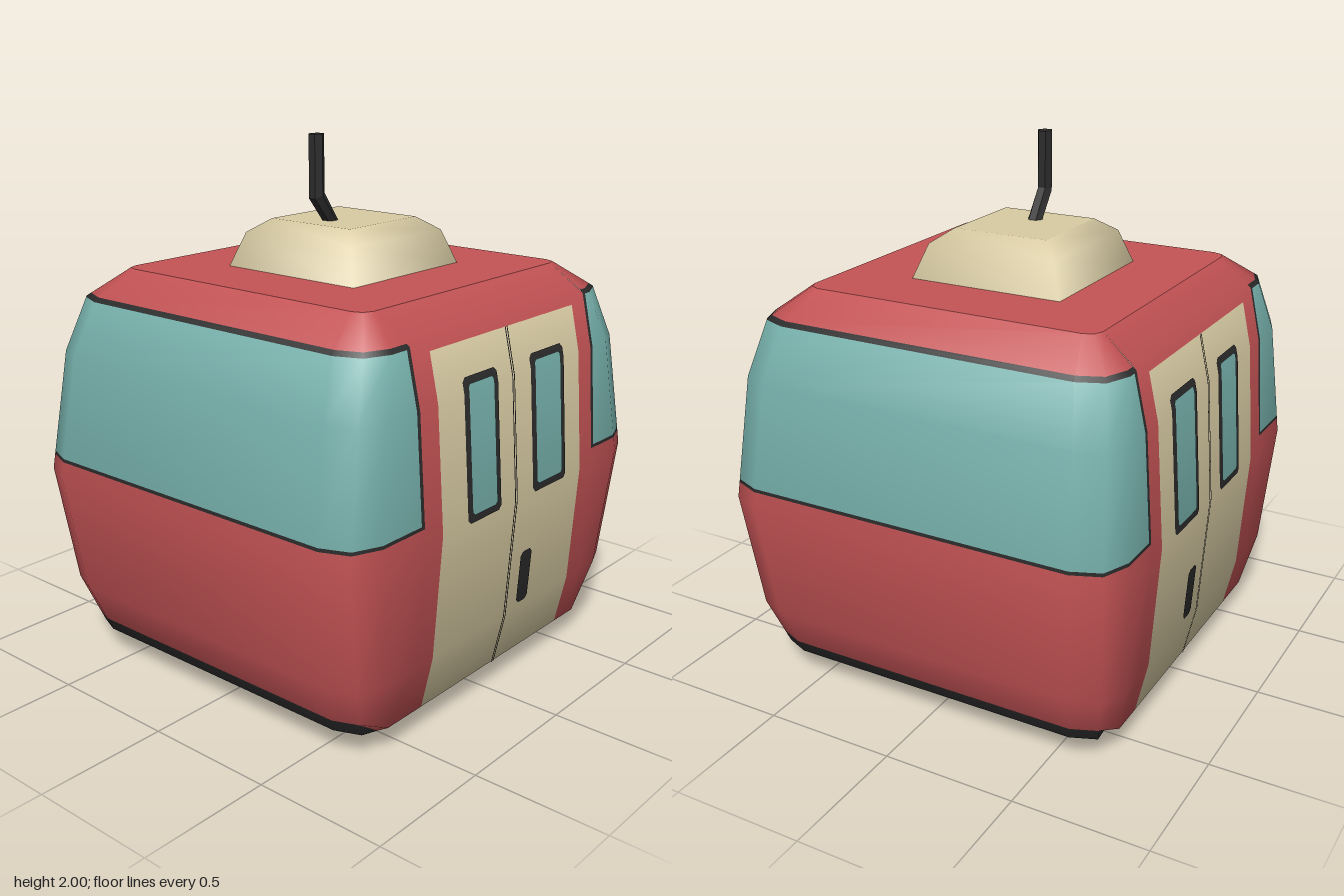
import * as THREE from 'three';

const material = (name, color) => Object.assign(new THREE.MeshStandardMaterial({ color }), { name });

// Body levels: y, half width, half depth, corner size, upward tilt of the normal
const LEVELS = [
  [0, 0.57, 0.57, 0.05, -0.75],
  [0.1, 0.72, 0.7, 0.13, -0.55],
  [0.3, 0.8, 0.745, 0.14, -0.25],
  [0.76, 0.87, 0.777, 0.145, 0],
  [1.21, 0.8, 0.745, 0.14, 0.25],
  [1.41, 0.72, 0.7, 0.13, 0.55],
  [1.51, 0.57, 0.57, 0.05, 0.75],
];
const TOP = 1.51;

function levelAt(y) {
  let i = 0;
  while (i < LEVELS.length - 2 && y > LEVELS[i + 1][0]) i++;
  const a = LEVELS[i], b = LEVELS[i + 1];
  const t = (y - a[0]) / (b[0] - a[0]);
  return a.map((v, k) => v + (b[k] - v) * t);
}

// Columns run up the body; at() gives x, z and the plan normal, skirt is the dark skirt's height
const column = (at, skirt = 0.04) => ({ at, skirt });
const face = (x) => column((w, d, a) => [Math.sign(x) * Math.min(Math.abs(x), w - a), d, 0, 1]);
const CORNER = [
  column((w, d, a) => [w - a, d, 0.2, 0.98]),
  column((w, d, a) => [w - 0.29 * a, d - 0.29 * a, 0.71, 0.71], 0.15),
  column((w, d, a) => [w, d - a, 0.98, 0.2], 0.15),
];

// Mirror columns, keeping them in left-to-right order as seen from outside
function mirror(cols, sx, sz) {
  const out = cols.map((c) => ({
    ...c,
    at: (w, d, a) => {
      const [x, z, nx, nz] = c.at(w, d, a);
      return [x * sx, z * sz, nx * sx, nz * sz];
    },
  }));
  return sx * sz < 0 ? out.reverse() : out;
}

// Skin patch between two heights, which may differ from column to column
function patch(cols, lo, hi, off = 0) {
  const low = cols.map((c) => (typeof lo === 'function' ? lo(c) : lo));
  const high = cols.map((c) => (typeof hi === 'function' ? hi(c) : hi));
  const min = Math.min(...low), max = Math.max(...high);
  const rows = [min, ...LEVELS.map((l) => l[0]).filter((y) => y > min && y < max), max];
  const pos = [], nor = [], idx = [], n = cols.length;
  rows.forEach((row, j) => cols.forEach((c, i) => {
    const y = Math.min(Math.max(row, low[i]), high[i]);
    const [, w, d, a, tilt] = levelAt(y);
    const [x, z, nx, nz] = c.at(w, d, a);
    const nv = new THREE.Vector3(nx, 0, nz).normalize().multiplyScalar(Math.sqrt(1 - tilt * tilt));
    nv.y = tilt;
    pos.push(x + nv.x * off, y + nv.y * off, z + nv.z * off);
    nor.push(nv.x, nv.y, nv.z);
    if (i && j) {
      const q = j * n + i;
      idx.push(q - n - 1, q - n, q, q - n - 1, q, q - 1);
    }
  }));
  const g = new THREE.BufferGeometry();
  g.setAttribute('position', new THREE.Float32BufferAttribute(pos, 3));
  g.setAttribute('normal', new THREE.Float32BufferAttribute(nor, 3));
  g.setIndex(idx);
  return g;
}

export function createModel() {
  const red = material('red paint', 0xc45355);
  const cream = material('cream paint', 0xd9cca4);
  const teal = material('teal glass', 0x76b0ab);
  const dark = material('dark trim', 0x2c2c2c);

  const model = new THREE.Group();
  model.name = 'cableCarCabin';
  const add = (parent, name, geometry, mat) => {
    const mesh = new THREE.Mesh(geometry, mat);
    mesh.name = name;
    parent.add(mesh);
    return mesh;
  };
  const group = (name) => {
    const g = new THREE.Group();
    g.name = name;
    model.add(g);
    return g;
  };

  // Sides: skirt, lower panel, wraparound window with trim, roof edge
  const skirtTop = (c) => c.skirt;
  for (const [sx, x0, name] of [[1, 0.545, 'leftSide'], [-1, 0.5, 'rightSide']]) {
    const side = group(name);
    const wrap = (x) => {
      const half = [face(x), ...CORNER];
      return mirror([...half, ...mirror(half, 1, -1)], sx, 1);
    };
    const cols = wrap(x0);
    add(side, 'skirt', patch(cols, 0, skirtTop), dark);
    add(side, 'lowerPanel', patch(cols, skirtTop, 0.815), red);
    add(side, 'windowSill', patch(cols, 0.815, 0.827), dark);
    add(side, 'wraparoundWindow', patch(wrap(x0 + 0.016), 0.827, 1.405), teal);
    add(side, 'windowHeader', patch(cols, 1.405, 1.42), dark);
    add(side, 'roofEdge', patch(cols, 1.42, TOP), red);
    for (const sz of [1, -1]) {
      const post = mirror([face(x0), face(x0 + 0.016)], sx, sz);
      add(side, 'windowPost', patch(post, 0.827, 1.405), dark);
    }
  }

  // Front and back: wall, sliding doors, windows, handle
  for (const [sz, name] of [[1, 'front'], [-1, 'back']]) {
    const end = group(name);
    const strip = (part, x0, x1, y0, y1, mat, off = 0) =>
      add(end, part, patch(mirror([face(x0), face(x1)], 1, sz), y0, y1, off), mat);
    // Plate with clipped corners
    const plate = (part, x0, x1, y0, y1, cut, off, mat) => {
      const cols = [[x0, cut], [x0 + cut, 0], [x1 - cut, 0], [x1, cut]]
        .map(([x, inset]) => ({ ...face(x), inset }));
      add(end, part, patch(mirror(cols, 1, sz), (c) => y0 + c.inset, (c) => y1 - c.inset, off), mat);
    };
    strip('skirt', -0.5, 0.545, 0, 0.04, dark);
    strip('sill', -0.5, 0.545, 0.04, 0.1, red);
    strip('wallRight', -0.5, -0.405, 0.1, 1.38, red);
    strip('doors', -0.405, 0.46, 0.1, 1.38, cream);
    strip('wallLeft', 0.46, 0.545, 0.1, 1.38, red);
    strip('roofEdge', -0.5, 0.545, 1.38, TOP, red);
    for (const x of [0.018, 0.029]) strip('doorSeam', x, x + 0.005, 0.1, 1.38, dark, 0.003);
    for (const [x0, x1] of [[-0.265, -0.068], [0.135, 0.352]]) {
      plate('doorWindowFrame', x0, x1, 0.757, 1.263, 0.015, 0.003, dark);
      plate('doorWindow', x0 + 0.025, x1 - 0.025, 0.783, 1.238, 0.01, 0.006, teal);
    }
    plate('doorHandle', 0.095, 0.167, 0.325, 0.532, 0.015, 0.004, dark);
  }

  // Flat roof and floor
  const cap = (y) => {
    const [, w, d, a] = levelAt(y);
    const quarter = [...CORNER].reverse();
    const ring = [[1, 1], [-1, 1], [-1, -1], [1, -1]].flatMap(([sx, sz]) => mirror(quarter, sx, sz));
    return new THREE.ShapeGeometry(new THREE.Shape(ring.map((c) => {
      const [x, z] = c.at(w, d, a);
      return new THREE.Vector2(x, z);
    })));
  };
  const roof = add(model, 'roof', cap(TOP), red);
  roof.rotation.x = -Math.PI / 2;
  roof.position.y = TOP;
  add(model, 'floor', cap(0), dark).rotation.x = Math.PI / 2;

  // Square domed mount on the roof
  const mount = group('roofMount');
  const profile = [[0.3, TOP], [0.255, 1.635], [0.187, 1.685]]
    .map(([r, y]) => new THREE.Vector2(r * Math.SQRT2, y));
  add(mount, 'mountSides', new THREE.LatheGeometry(profile, 4, Math.PI / 4), cream);
  const lid = add(mount, 'mountTop', new THREE.PlaneGeometry(0.374, 0.374), cream);
  lid.rotation.x = -Math.PI / 2;
  lid.position.y = 1.685;

  // Bent hanger arm: a six-sided bar whose rings follow the bend
  const bar = new THREE.CylinderGeometry(0.029, 0.029, 2, 6, 2);
  const p = bar.attributes.position;
  for (let i = 0; i < p.count; i++) {
    const ring = Math.round(p.getY(i)) + 1;
    const [cx, cy, slope] = [[-0.07, 1.675, 0], [-0.15, 1.782, 0.4], [-0.15, 2, 0]][ring];
    p.setXYZ(i, cx + p.getX(i), cy + slope * p.getX(i), p.getZ(i));
  }
  const arm = bar.toNonIndexed();
  arm.computeVertexNormals();
  add(model, 'hangerArm', arm, dark);

  return model;
}
